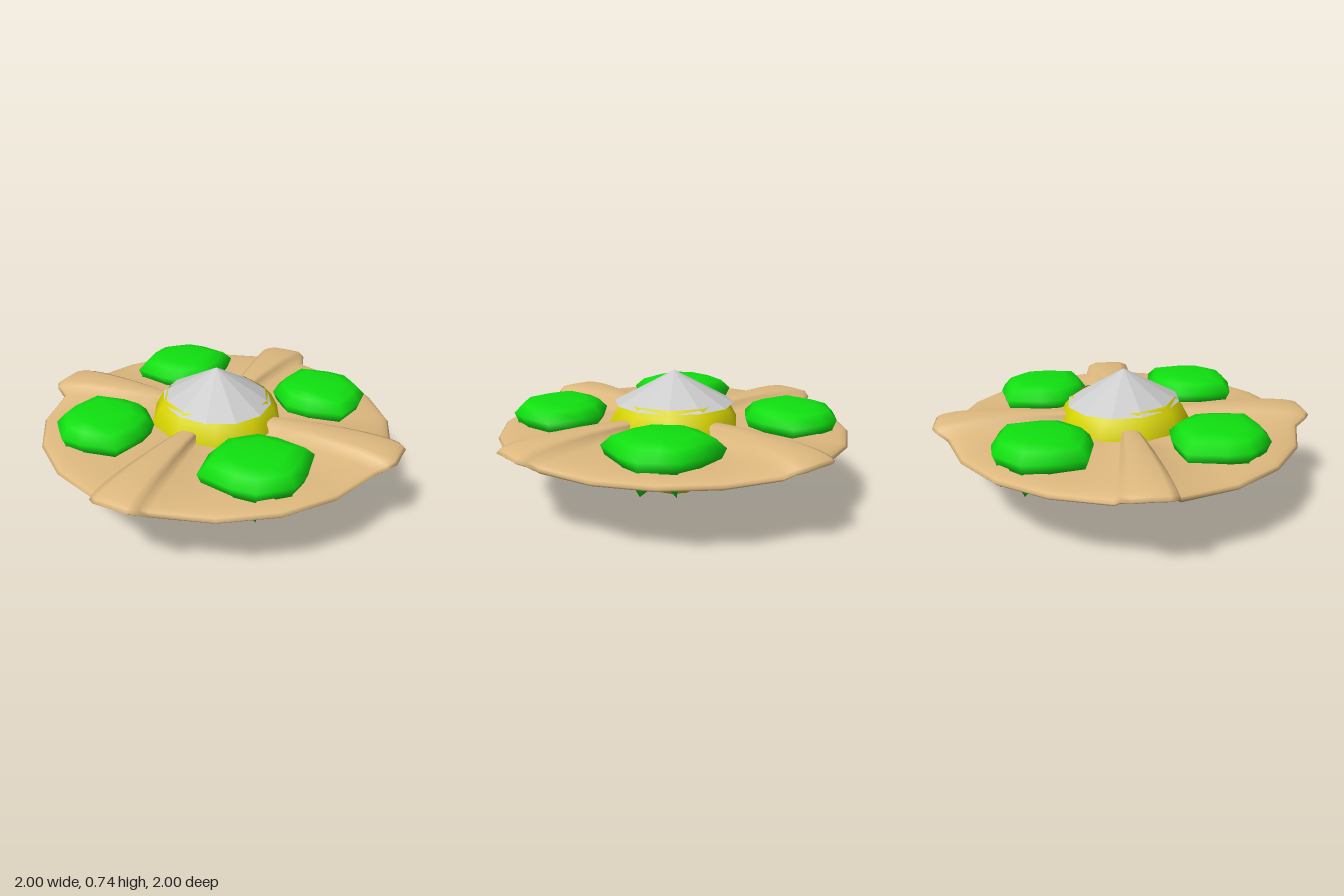
import * as THREE from 'three';

const material = (color, extra = {}) => new THREE.MeshStandardMaterial({ color, ...extra });

// Skin rings of equal length, closed around the axis; rings run from the top outwards and down
function skin(rings) {
  const n = rings[0].length, index = [];
  for (let i = 0; i < rings.length - 1; i++) {
    for (let j = 0; j < n; j++) {
      const a = i * n + j, b = i * n + (j + 1) % n;
      index.push(a, b, a + n, b, b + n, a + n);
    }
  }
  const geometry = new THREE.BufferGeometry();
  geometry.setAttribute('position', new THREE.Float32BufferAttribute(rings.flat(2), 3));
  geometry.setIndex(index);
  geometry.computeVertexNormals();
  return geometry;
}

function add(parent, name, geometry, mat) {
  const mesh = new THREE.Mesh(geometry, mat);
  mesh.name = name;
  parent.add(mesh);
  return mesh;
}

// Thick disc with a rounded rim and four widening, hollow diagonal ridges
function discGeometry() {
  const inner = 0.3;
  // Ridge section: [side, length, lift]
  const half = [[-0.155, 0.99, 0], [-0.135, 1.05, 0.8], [-0.09, 1.08, 1]];
  const ridge = [...half, [0, 1.08, 1.03], ...half.map(([s, l, h]) => [-s, l, h]).reverse()];

  // One ring of the upper (face = 1) or lower (face = -1) surface
  function ringAt(u, face) {
    const ring = [];
    const y = 0.4 + face * 0.037 * Math.sqrt(1 - Math.pow(u, 8));
    const ridgeLift = 0.055 + 0.06 * u - 0.065 * u * u;
    for (let q = 0; q < 4; q++) {
      const plain = degrees => {
        const a = THREE.MathUtils.degToRad(degrees) + q * Math.PI / 2;
        const r = inner + (1 - inner) * u;
        ring.push([r * Math.cos(a), y, r * Math.sin(a)]);
      };
      plain(0);
      plain(18);
      const a = Math.PI / 4 + q * Math.PI / 2, c = Math.cos(a), s = Math.sin(a);
      for (const [side, length, lift] of ridge) {
        const d = inner + (length - inner) * u;
        const w = side * (0.33 + 0.67 * u);
        ring.push([d * c - w * s, y + lift * ridgeLift, d * s + w * c]);
      }
      plain(72);
    }
    return ring;
  }
  const us = [0, 0.2, 0.4, 0.6, 0.75, 0.87, 0.94, 0.98];
  return skin([
    ...us.map(u => ringAt(u, 1)),
    ringAt(1, 1),
    ...us.map(u => ringAt(u, -1)).reverse(),
  ]);
}

// Rounded, flat-topped lobe with a jagged star underneath
function lobeGeometry() {
  const quarter = [[0, 0.315], [0.17, 0.2], [0.253, 0.1]];
  const side = [...quarter, [0.255, 0], ...quarter.slice(1).reverse().map(([x, z]) => [x, -z])];
  const outline = [...side, ...side.map(([x, z]) => [-x, -z])].reverse();
  const ring = (radii, heights) => outline.map(([x, z], j) => {
    const k = 1 - j % 2;
    return [x * radii[k], heights[k], z * radii[k]];
  });
  const even = (r, y) => ring([r, r], [y, y]);
  return skin([
    even(0, 0.56), even(0.55, 0.56), even(0.82, 0.54), even(1, 0.49),
    even(0.93, 0.44), ring([0.88, 0.4], [0.31, 0.345]), even(0, 0.345),
  ]);
}

export function createModel() {
  const model = new THREE.Group();
  model.name = 'saucer';

  add(model, 'disc', discGeometry(), material(0xdeb97f, { side: THREE.DoubleSide }));

  // Central bowl hanging through the disc, open under the cap
  const profile = [
    [0, 0.005], [0.145, 0.035], [0.27, 0.115], [0.35, 0.235],
    [0.38, 0.37], [0.378, 0.45], [0.335, 0.53], [0.295, 0.575],
  ].map(([r, y]) => new THREE.Vector2(r, y));
  const bowl = new THREE.LatheGeometry(profile, 10, Math.PI / 2);
  add(model, 'bowl', bowl, material(0xd8d400, { side: THREE.DoubleSide }));

  // Low conical cap
  const cap = add(model, 'cap', new THREE.ConeGeometry(0.345, 0.185, 12), material(0xcccccc, { flatShading: true }));
  cap.position.y = 0.6475;
  cap.scale.x = 0.9;

  // Four lobes, long side along the rim
  const lobe = lobeGeometry();
  const green = material(0x10e010, { side: THREE.DoubleSide });
  for (let i = 0; i < 4; i++) {
    const a = i * Math.PI / 2;
    const mesh = add(model, 'lobe' + (i + 1), lobe, green);
    const r = i % 2 ? 0.665 : 0.645;
    mesh.position.set(r * Math.cos(a), 0, -r * Math.sin(a));
    mesh.rotation.y = a;
  }
  return model;
}
